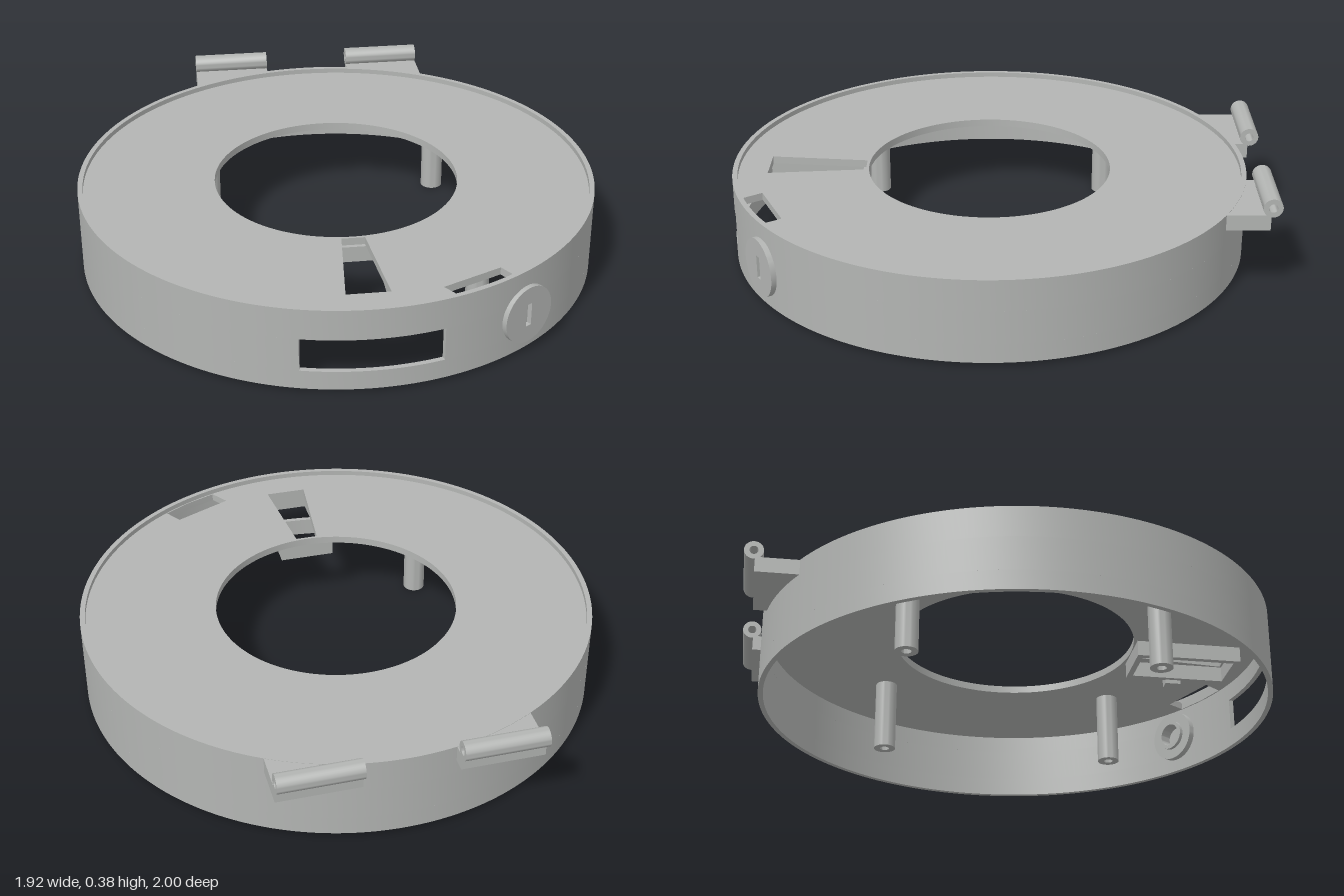
import * as THREE from 'three';
import { toCreasedNormals } from 'three/addons/utils/BufferGeometryUtils.js';

const R = 0.962, RI = 0.943, HOLE = 0.455;
const TOP = 0.322, PLATE_TOP = 0.303, PLATE_BOTTOM = 0.275;

export function createModel() {
  const grey = new THREE.MeshStandardMaterial({ color: 0xb3b5b3 });
  grey.name = 'grey plastic';
  const model = new THREE.Group();
  model.name = 'ringHousing';
  const body = new THREE.Group();
  body.name = 'body';
  body.position.z = 0.037;
  model.add(body);

  const add = (geometry, name, parent = body) => {
    const mesh = new THREE.Mesh(geometry, grey);
    mesh.name = name;
    parent.add(mesh);
    return mesh;
  };
  const extrude = (shape, depth, segments = 32) => toCreasedNormals(
    new THREE.ExtrudeGeometry(shape, { depth, bevelEnabled: false, curveSegments: segments }), 0.6);
  // shape drawn in (x, z), filling the heights from y0 to y1
  const slab = (shape, y0, y1, segments) =>
    extrude(shape, y1 - y0, segments).rotateX(Math.PI / 2).translate(0, y1, 0);
  const polygon = (pts, Type = THREE.Shape) => new Type(pts.map(p => new THREE.Vector2(...p)));
  const rect = (x0, z0, x1, z1, Type) => polygon([[x0, z0], [x1, z0], [x1, z1], [x0, z1]], Type);
  const circle = (r, Type = THREE.Path) => new Type().absarc(0, 0, r, 0, Math.PI * 2, false);
  const ring = (outer, inner) => {
    const s = circle(outer, THREE.Shape);
    s.holes.push(circle(inner));
    return s;
  };

  // outer wall: full rings below and above the front window
  const winBottom = 0.083, winTop = 0.207;
  add(slab(ring(R, RI), 0.012, winBottom, 128), 'wallLower');
  add(slab(ring(R, RI), winTop, TOP, 128), 'wallUpper');
  const half = 0.258, front = Math.PI / 2;
  const sector = new THREE.Shape();
  sector.absarc(0, 0, R, front + half, front - half + Math.PI * 2, false);
  sector.absarc(0, 0, RI, front - half + Math.PI * 2, front + half, true);
  add(slab(sector, winBottom, winTop, 128), 'wallMiddle');

  // recessed top plate with centre opening, tapered slot and latch slot
  const plate = circle(RI + 0.005, THREE.Shape);
  plate.holes.push(
    circle(HOLE),
    polygon([[-0.042, 0.465], [0.042, 0.465], [0.077, 0.83], [-0.077, 0.83]], THREE.Path),
    polygon([[0.255, 0.825], [0.47, 0.727], [0.51, 0.79], [0.41, 0.846], [0.3, 0.89]], THREE.Path));
  add(slab(plate, PLATE_BOTTOM, PLATE_TOP, 128), 'topPlate');

  // open frame under the tapered slot, with a small lug on its side
  const frame = rect(-0.105, 0.458, 0.105, 0.86);
  frame.holes.push(rect(-0.083, 0.48, 0.083, 0.838, THREE.Path));
  add(slab(frame, 0.215, PLATE_BOTTOM), 'slotFrame');
  add(new THREE.BoxGeometry(0.045, 0.05, 0.06), 'frameLug').position.set(0.122, 0.225, 0.645);

  // four hollow screw posts
  for (const x of [-0.455, 0.455]) for (const z of [-0.455, 0.455])
    add(slab(ring(0.042, 0.018), 0, PLATE_BOTTOM, 16), 'screwPost').position.set(x, 0, z);

  // two hinges at the back: bracket following the wall, and a hollow barrel
  for (const side of [-1, 1]) {
    const hinge = new THREE.Group();
    hinge.name = side > 0 ? 'leftHinge' : 'rightHinge';
    body.add(hinge);
    const pts = [[0.17 * side, -0.997], [0.47 * side, -0.997]];
    for (let i = 0; i <= 8; i++) {
      const x = 0.47 - 0.3 * i / 8;
      pts.push([x * side, -Math.sqrt(0.95 * 0.95 - x * x)]);
    }
    add(slab(polygon(pts), 0.263, TOP - 0.001), 'hingeBracket', hinge);
    const barrel = extrude(ring(0.035, 0.016), 0.3, 16).rotateY(Math.PI / 2);
    add(barrel, 'hingeBarrel', hinge).position.set(side * 0.32 - 0.15, 0.348, -1.002);
  }

  // lock on the front left: outer face with keyway, inner collar and washer
  const lock = new THREE.Group();
  lock.name = 'lock';
  lock.position.y = 0.155;
  lock.rotation.y = 0.565;
  body.add(lock);
  const x0 = 0.04; // sideways shift of the lock axis along the wall
  const face = circle(0.108, THREE.Shape);
  face.holes.push(rect(-0.012, -0.043, 0.012, 0.043, THREE.Path));
  add(extrude(face, 0.02), 'lockFace', lock).position.set(x0, 0, 0.959);
  add(extrude(ring(0.06, 0.045), 0.06), 'lockCollar', lock).position.set(x0, 0, 0.89);
  add(extrude(ring(0.1, 0.06), 0.025), 'lockWasher', lock).position.set(x0, 0, 0.905);

  return model;
}
